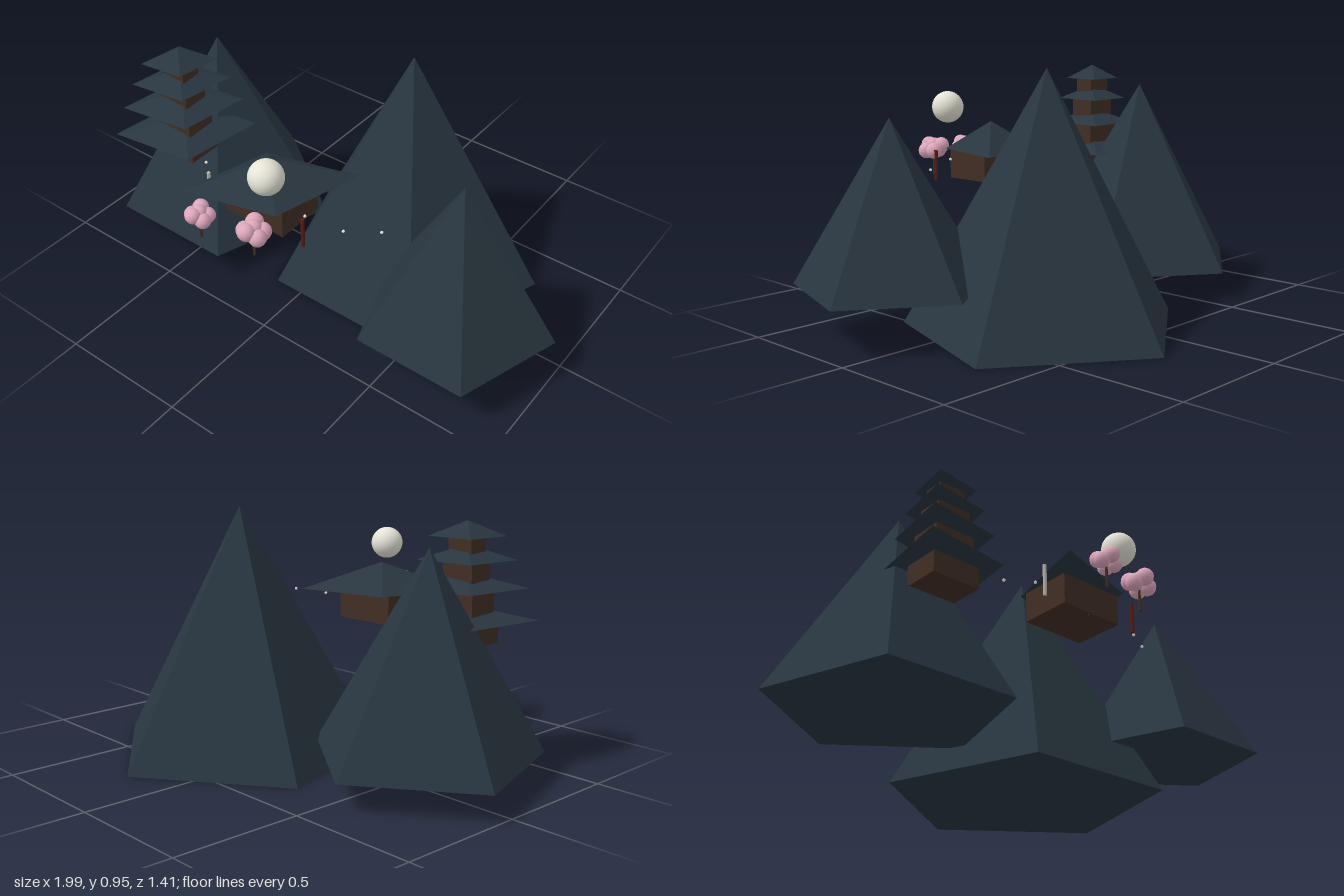
import * as THREE from 'three';

const mat = (name, color, flatShading = false) => {
  const m = new THREE.MeshStandardMaterial({ color, flatShading });
  m.name = name;
  return m;
};

export function createModel() {
  const slate = mat('dark slate', 0x293640, true);
  const wood = mat('dark wood', 0x412e24, true);
  const red = mat('dark red', 0x5c1a14);
  const pale = mat('pale post', 0xb8b4ac);
  const moonMat = mat('moon ivory', 0xe6e4d7);
  const pink = mat('blossom pink', 0xdfa8bd);

  const model = new THREE.Group();
  model.name = 'mountainTemples';

  const add = (parent, name, geometry, material, x, y, z) => {
    const mesh = new THREE.Mesh(geometry, material);
    mesh.name = name;
    mesh.position.set(x, y, z);
    parent.add(mesh);
    return mesh;
  };
  const group = (name, x, y, z) => {
    const g = new THREE.Group();
    g.name = name;
    g.position.set(x, y, z);
    model.add(g);
    return g;
  };

  // Five-sided mountains: x, base y, z, radius, height
  [
    [0.2, 0, -0.16, 0.54, 0.95],
    [-0.58, 0.105, 0.042, 0.44, 0.745],
    [0.642, 0.175, 0.18, 0.37, 0.605],
  ].forEach(([x, y, z, r, h], i) => {
    const m = add(model, `mountain${i + 1}`, new THREE.ConeGeometry(r, h, 5), slate, x, y + h / 2, z);
    m.rotation.y = Math.PI;
  });

  // Four-sided roof, stretched along its diagonal
  const roof = (parent, name, long, short, height, y) => {
    const m = add(parent, name, new THREE.ConeGeometry(1, height, 4), slate, 0, y + height / 2, 0);
    m.scale.set(long, 1, short);
    m.rotation.y = Math.PI / 4;
  };

  // Pagoda tiers: floor y, eaves y, half width, roof reach
  const pagoda = group('pagoda', -0.55, 0, 0.28);
  [
    [0.482, 0.562, 0.096, 0.268],
    [0.562, 0.68, 0.081, 0.226],
    [0.68, 0.782, 0.067, 0.182],
    [0.782, 0.868, 0.053, 0.141],
  ].forEach(([y0, y1, w, r], i) => {
    add(pagoda, `tierWall${i + 1}`, new THREE.BoxGeometry(w * 2, y1 - y0, w * 2 / 1.3), wood, 0, (y0 + y1) / 2, 0);
    roof(pagoda, `tierRoof${i + 1}`, r, r / 1.3, 0.057, y1);
  });

  // Temple hall with a front row of columns
  const temple = group('temple', -0.037, 0, 0.378);
  add(temple, 'hall', new THREE.BoxGeometry(0.266, 0.12, 0.2), wood, 0, 0.542, 0);
  roof(temple, 'hallRoof', 0.32, 0.186, 0.112, 0.598);
  for (let i = 0; i < 5; i++) {
    const light = i === 0 || i === 2;
    add(temple, `column${i + 1}`, new THREE.CylinderGeometry(0.007, 0.007, 0.12, 8),
      light ? pale : red, (i - 2) * 0.109, 0.542, 0.091);
  }

  // Blossom trees: a thin trunk under a cluster of spheres
  const tree = (name, x, z, y, size) => {
    const g = group(name, x, 0, z);
    add(g, 'trunk', new THREE.CylinderGeometry(0.004, 0.006, y - 0.482, 6), wood, 0, (y + 0.482) / 2, 0);
    const ball = new THREE.SphereGeometry(size * 0.52, 12, 8);
    add(g, 'blossomCentre', ball, pink, 0, y + size * 0.15, 0);
    for (let i = 0; i < 5; i++) {
      const a = i * Math.PI * 0.4 + 0.4;
      add(g, `blossom${i + 1}`, ball, pink,
        Math.cos(a) * size * 0.5, y + (i % 2 ? 0.18 : -0.15) * size, Math.sin(a) * size * 0.5);
    }
  };
  tree('leftTree', -0.135, 0.648, 0.585, 0.057);
  tree('rightTree', 0.075, 0.605, 0.592, 0.064);

  // Floating moon
  add(model, 'moon', new THREE.SphereGeometry(0.064, 32, 20), moonMat, 0.07, 0.766, 0.52);

  // Small floating lanterns
  [
    [-0.36, 0.542, 0.375],
    [-0.24, 0.565, 0.405],
    [0.15, 0.567, 0.418],
    [0.288, 0.542, 0.378],
    [0.405, 0.553, 0.313],
  ].forEach(([x, y, z], i) =>
    add(model, `lantern${i + 1}`, new THREE.SphereGeometry(0.006, 8, 6), moonMat, x, y, z));

  return model;
}
